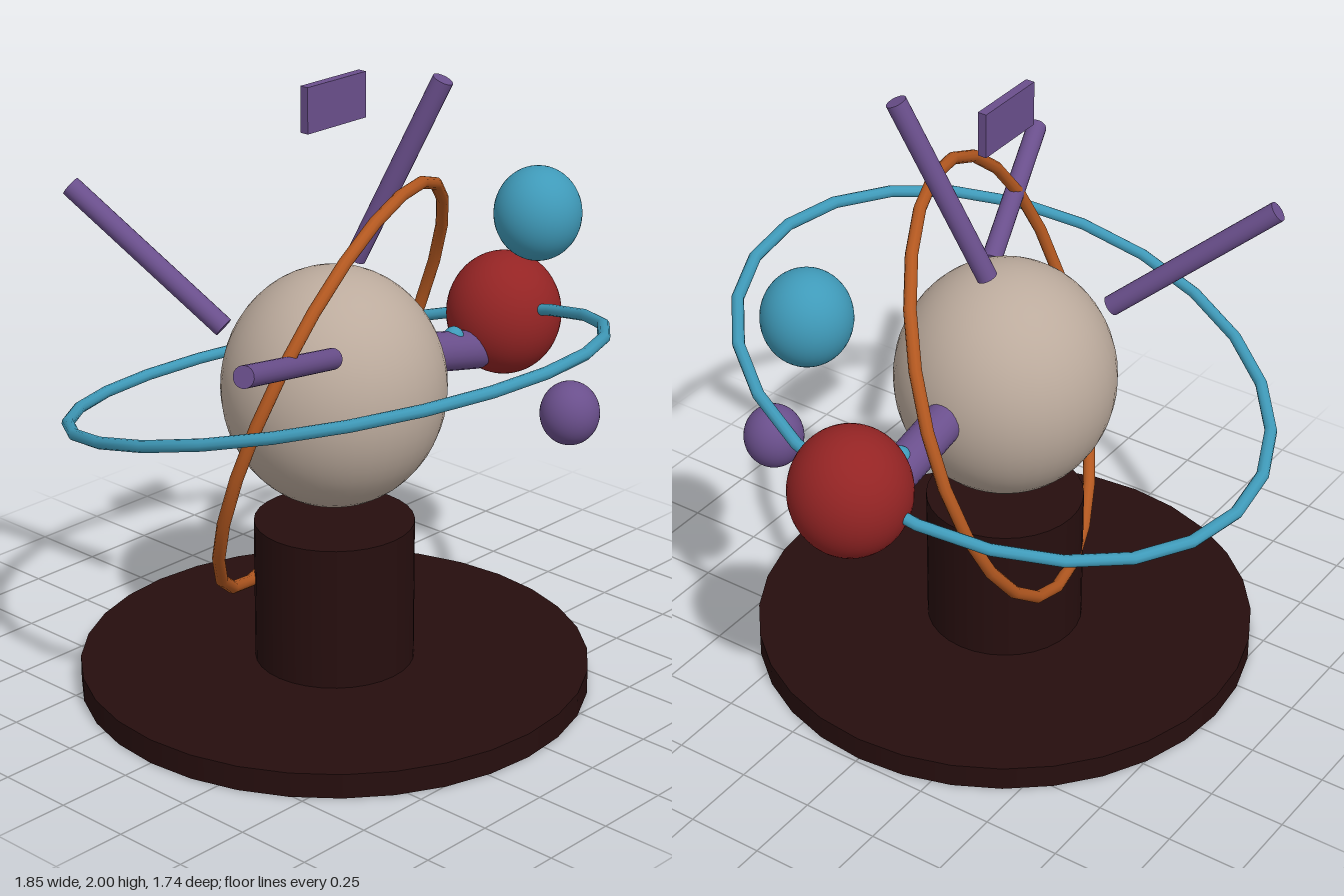
import * as THREE from 'three';

const paint = (name, color) => {
  const m = new THREE.MeshStandardMaterial({ color });
  m.name = name;
  return m;
};

export function createModel() {
  const root = new THREE.Group();
  root.name = 'orbitSculpture';
  const dark = paint('dark brown', 0x260e0e);
  const beige = paint('beige', 0xbcab9d);
  const red = paint('red', 0x942424);
  const teal = paint('teal', 0x3f9ab9);
  const orange = paint('orange', 0xb35820);
  const purple = paint('purple', 0x6a4f8c);
  const CX = -0.08; // axis of the stand
  const STRETCH = 1.083; // balls are slightly taller than wide

  const add = (name, geometry, material, x = 0, y = 0, z = 0) => {
    const mesh = new THREE.Mesh(geometry, material);
    mesh.name = name;
    mesh.position.set(x, y, z);
    root.add(mesh);
    return mesh;
  };
  const ball = (name, r, material, x, y, z) => {
    add(name, new THREE.SphereGeometry(r, 40, 28), material, x, y, z).scale.y = STRETCH;
  };
  const rod = (name, r, from, to) => {
    const a = new THREE.Vector3(...from), b = new THREE.Vector3(...to);
    const d = b.clone().sub(a);
    const mesh = add(name, new THREE.CylinderGeometry(r, r, d.length(), 20), purple);
    mesh.position.copy(a).add(b).multiplyScalar(0.5);
    mesh.quaternion.setFromUnitVectors(new THREE.Vector3(0, 1, 0), d.normalize());
  };

  // Stand
  add('baseDisc', new THREE.CylinderGeometry(0.815, 0.815, 0.08, 32), dark, CX, 0.04, 0);
  add('column', new THREE.CylinderGeometry(0.255, 0.255, 0.47, 32), dark, CX, 0.315, 0);

  // Balls
  ball('centralBall', 0.354, beige, CX, 1.0, 0);
  ball('redBall', 0.19, red, 0.733, 1.031, 0);
  ball('tealBall', 0.14, teal, 0.58, 1.465, 0.26);
  ball('purpleBall', 0.095, purple, 0.468, 0.886, 0.5);
  ball('armStud', 0.034, teal, 0.483, 1.008, 0);

  // Tilted rings
  const tealRing = add('tealRing', new THREE.TorusGeometry(0.812, 0.019, 10, 24), teal, CX, 1.04, 0);
  tealRing.scale.y = STRETCH;
  tealRing.rotation.x = Math.PI / 2 - 0.26;
  tealRing.rotation.x = -tealRing.rotation.x + Math.PI; // front edge raised
  tealRing.rotation.x = -(Math.PI / 2 + 0.26);
  const orangeRing = add('orangeRing', new THREE.TorusGeometry(0.703, 0.02, 10, 24), orange, CX, 1.0, 0);
  orangeRing.quaternion.setFromUnitVectors(
    new THREE.Vector3(0, 0, 1), new THREE.Vector3(0.333, -0.338, 0.88).normalize());

  // Arm and spikes
  rod('redBallArm', 0.065, [0.15, 1.035, 0], [0.6, 0.937, 0]);
  rod('topSpike', 0.033, [0.006, 1.4, 0.01], [0.132, 1.987, 0.25]);
  rod('backSpike', 0.033, [-0.335, 1.205, -0.225], [-0.53, 1.605, -0.69]);
  rod('frontSpike', 0.033, [-0.325, 1.215, 0.225], [-0.91, 1.378, 0.44]);

  // Floating plate above the central ball
  add('topPlate', new THREE.BoxGeometry(0.254, 0.144, 0.03), purple, CX, 1.913, 0);
  return root;
}
